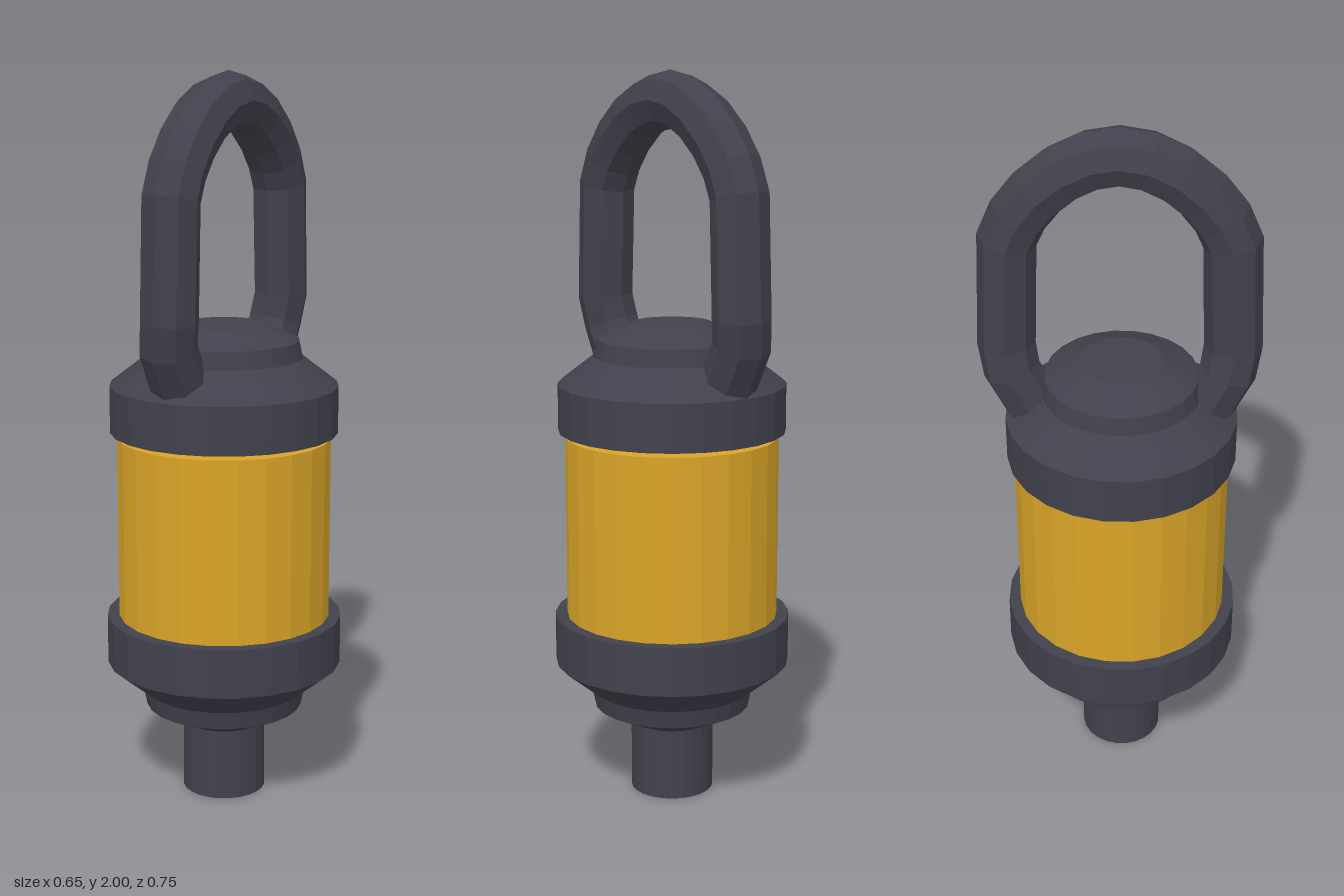
import * as THREE from 'three';

const SIDES = 24;
const darkMetal = new THREE.MeshStandardMaterial({ color: 0x41414d, flatShading: true });
const amber = new THREE.MeshStandardMaterial({ color: 0xd9a428, flatShading: true });

// Turned part from a bottom-to-top list of [radius, height]
function turned(name, profile, material) {
  const points = profile.map(([r, y]) => new THREE.Vector2(r, y));
  const mesh = new THREE.Mesh(new THREE.LatheGeometry(points, SIDES, Math.PI / SIDES), material);
  mesh.name = name;
  mesh.position.set(-0.003, 0, 0.005);
  return mesh;
}

// Closed carrying loop; its lower end runs through the cap
function carryLoop() {
  const half = [
    [0.07, 1.91], [0.14, 1.875], [0.205, 1.82], [0.255, 1.755], [0.285, 1.685],
    [0.297, 1.375], [0.285, 1.30], [0.24, 1.21], [0.18, 1.145], [0.10, 1.104],
  ];
  const at = (z, y) => new THREE.Vector3(y > 1.34 ? 0.007 : -0.004, y, z);
  const path = [
    at(0, 1.922),
    ...half.map(([z, y]) => at(z, y)),
    at(0, 1.095),
    ...half.slice().reverse().map(([z, y]) => at(-z, y)),
  ];
  const curve = new THREE.CatmullRomCurve3(path, true);
  // One ring of vertices per path point
  curve.getPointAt = (u, target) => curve.getPoint(u, target);
  curve.getTangentAt = (u, target) => curve.getTangent(u, target);
  const mesh = new THREE.Mesh(new THREE.TubeGeometry(curve, path.length, 0.077, 8, true), darkMetal);
  mesh.name = 'carryLoop';
  return mesh;
}

export function createModel() {
  const model = new THREE.Group();
  model.name = 'lantern';

  // Base with foot stem, flange and collar
  model.add(turned('base', [
    [0, 0], [0.115, 0], [0.115, 0.2], [0.218, 0.25], [0.228, 0.30],
    [0.326, 0.38], [0.326, 0.515], [0, 0.515],
  ], darkMetal));

  // Glowing chamber
  model.add(turned('lampGlass', [
    [0, 0.5], [0.293, 0.5], [0.293, 1.02], [0, 1.02],
  ], amber));

  // Cap, floating just above the chamber
  model.add(turned('cap', [
    [0, 1.035], [0.312, 1.035], [0.312, 1.165], [0.215, 1.24],
    [0.205, 1.288], [0.11, 1.33], [0, 1.33],
  ], darkMetal));

  model.add(carryLoop());
  return model;
}
